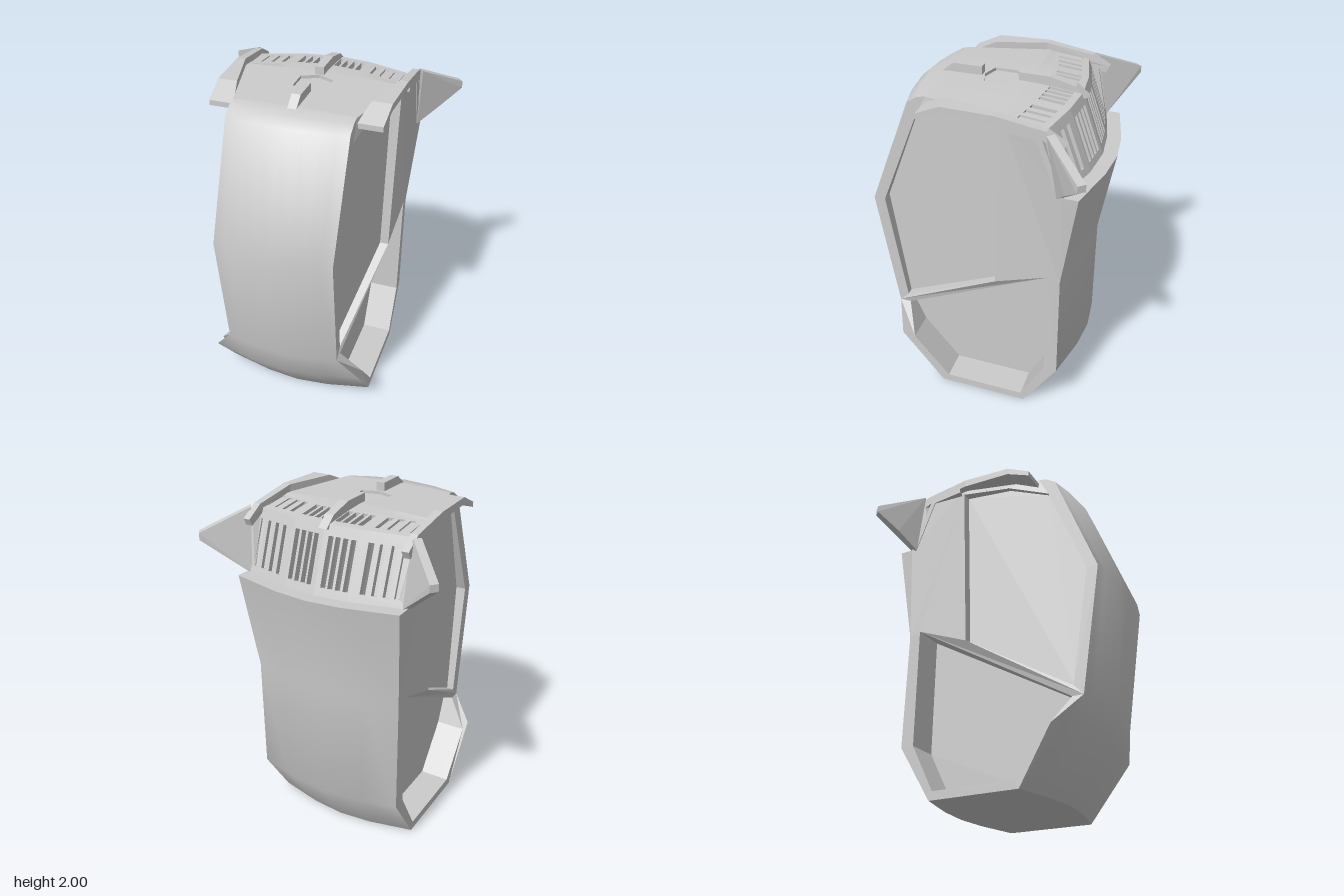
import * as THREE from 'three';
import { toCreasedNormals } from 'three/addons/utils/BufferGeometryUtils.js';
import { ConvexGeometry } from 'three/addons/geometries/ConvexGeometry.js';

const clamp = (v) => Math.min(1, Math.max(0, v));

// Half width of the body at a given depth and height
function halfWidth(z, y) {
  if (y < 0.4) return 0.46;
  if (z > -0.2) return 0.34 + 0.12 * clamp((0.28 - z) / 0.46);
  return 0.46 + 0.04 * clamp((y - 1) / 0.58);
}

// How far the shell falls back from its centre line at x
function bow(x) {
  const a = Math.abs(x);
  return a < 0.2 ? a * 0.1 : 0.02 + (a - 0.2) * 0.235;
}

// Centre profile: z, y, sideways fall in z, sideways fall in y
const PROFILE = [
  [-0.61, 1.58, 1, 0], [-0.69, 1.58, 1, 0], [-0.6, 1.0, 1, 0], [-0.61, 0.32, 1, 0], [-0.41, 0, 1, 0],
  [0.29, 0, -1, 0], [0.55, 0.33, -1, 0], [0.58, 0.49, -1, 0], [0.69, 1.24, -1, 0], [0.44, 1.89, -1, 0],
  [0.38, 1.94, -1, 0.2], [0.28, 1.95, 0, 0.2], [-0.18, 1.955, 0, 0.2], [-0.28, 1.95, 1, 0.2],
  [-0.48, 1.93, 1, 0.2],
];

function surfacePoint([z, y, kz, ky], x) {
  const b = bow(x);
  return new THREE.Vector3(x, y - ky * b, z + kz * b);
}
const edgePoint = (p) => surfacePoint(p, halfWidth(p[0], p[1]));

// Curved strip through a run of profile points
function band(points) {
  const pos = [], idx = [], cols = 9;
  points.forEach((p) => {
    const w = halfWidth(p[0], p[1]);
    [-w, -0.27, -0.2, -0.1, 0, 0.1, 0.2, 0.27, w].forEach((x) => pos.push(...surfacePoint(p, x).toArray()));
  });
  for (let i = 0; i < points.length - 1; i++) {
    for (let j = 0; j < cols - 1; j++) {
      const a = i * cols + j, c = a + cols;
      idx.push(a, a + 1, c, a + 1, c + 1, c);
    }
  }
  const g = new THREE.BufferGeometry();
  g.setAttribute('position', new THREE.Float32BufferAttribute(pos, 3));
  g.setIndex(idx);
  return toCreasedNormals(g, 0.8);
}

// Apply a rule to every vertex
function remap(geo, rule) {
  const p = geo.attributes.position, v = new THREE.Vector3();
  for (let i = 0; i < p.count; i++) {
    const q = rule(v.fromBufferAttribute(p, i));
    p.setXYZ(i, q.x, q.y, q.z);
  }
  geo.computeVertexNormals();
  return geo;
}

// Mirror in x, keeping faces outward
function mirrored(geo) {
  const g = geo.clone(), p = g.attributes.position;
  for (let i = 0; i < p.count; i += 3) {
    const t = [0, 2, 1].map((k) => new THREE.Vector3().fromBufferAttribute(p, i + k));
    t.forEach((v, k) => p.setXYZ(i + k, -v.x, v.y, v.z));
  }
  g.computeVertexNormals();
  return g;
}

const toShape = (pts) => new THREE.Shape(pts.map(([a, b]) => new THREE.Vector2(a, b)));
const sideShape = (pts) => toShape(pts.map(([z, y]) => [-z, y]));
const extrude = (shape, depth) => new THREE.ExtrudeGeometry(shape, { depth, bevelEnabled: false });

// Side-on outline pushed out in x; xRule(z, y, outer) sets x
function sidePiece(outline, holes, xRule) {
  const shape = sideShape(outline);
  shape.holes = holes.map(sideShape);
  return remap(extrude(shape, 1), (v) => new THREE.Vector3(xRule(-v.x, v.y, v.z > 0.5), v.y, -v.x));
}

// Half-plate between two profile points, with cut-outs given as (x, 0..1)
const THICK = 0.03, EDGE = 0.48;
function plate(p0, p1, outline, holes) {
  const shape = toShape(outline);
  shape.holes = holes.map(toShape);
  const dir = new THREE.Vector3(0, p1[1] - p0[1], p1[0] - p0[0]);
  const n = new THREE.Vector3(1, 0, 0).cross(dir).normalize();
  const at = (p, x) => {
    const w = halfWidth(p[0], p[1]);
    return surfacePoint(p, x > 0.2 ? 0.2 + ((x - 0.2) / (EDGE - 0.2)) * (w - 0.2) : x);
  };
  return remap(extrude(shape, THICK), (v) => {
    const d = v.z - THICK;
    return at(p0, v.x).lerp(at(p1, v.x), v.y).addScaledVector(n, d);
  });
}

export function createModel() {
  const group = new THREE.Group();
  const mat = new THREE.MeshStandardMaterial({ color: 0xcccccc, side: THREE.DoubleSide });
  const add = (geo, name) => {
    const m = new THREE.Mesh(geo, mat);
    m.name = name;
    group.add(m);
  };
  const addPair = (geo, name) => {
    add(geo, name + 'Left');
    add(mirrored(geo), name + 'Right');
  };
  const rect = (a, b, v0, v1) => [[a, v0], [b, v0], [b, v1], [a, v1]];

  // Outer shell: back, bottom, front, and the small strip ahead of the vents
  add(band(PROFILE.slice(0, 12)), 'shell');
  add(band(PROFILE.slice(12, 14)), 'roofStrip');

  // Roof with a hexagonal recess
  const roofInner = [[0, 0], [0.2, 0], [0.2, 1], [0, 1], [0, 0.89], [0.095, 0.8], [0.095, 0.52], [0, 0.457]];
  addPair(plate(PROFILE[11], PROFILE[12], roofInner, []), 'roofCentre');
  addPair(plate(PROFILE[11], PROFILE[12], rect(0.2, EDGE, 0, 1), []), 'roofSide');
  const floor = new THREE.CylinderGeometry(0.12, 0.12, 0.01, 6);
  floor.translate(0, 1.93, -0.03);
  add(floor, 'recessFloor');

  // Two rows of vent slots, one on the roof and one on the steep back
  const inner = [0.03, 0.07, 0.113, 0.157], outer = [0.245, 0.3, 0.355, 0.41];
  const rows = [[PROFILE[13], PROFILE[14], 0.12, 0.8, 'roofVent'], [PROFILE[14], PROFILE[0], 0.16, 0.88, 'backVent']];
  rows.forEach(([p0, p1, v0, v1, name]) => {
    const slots = (xs) => xs.map((x) => rect(x, x + 0.028, v0, v1));
    addPair(plate(p0, p1, rect(0, 0.2, 0, 1), slots(inner)), name + 'Inner');
    addPair(plate(p0, p1, rect(0.2, EDGE, 0, 1), slots(outer)), name + 'Outer');
  });

  // Side frames with two openings and the slanted bar between them
  const upper = [[0.57, 1.24], [0.34, 1.82], [0.07, 1.92], [-0.18, 1.92], [-0.14, 0.9], [0.47, 0.55]];
  const lower = [[0.46, 0.49], [0.39, 0.32], [0.17, 0.05], [-0.31, 0.05], [-0.45, 0.32], [-0.45, 1.02]];
  const edge = PROFILE.map(edgePoint).map((p) => [p.z, p.y]);
  addPair(sidePiece(edge, [upper, lower], (z, y, out) => (out ? halfWidth(z, y) : 0.25)), 'sideFrame');

  // Recessed panels inside the openings
  const slant = (z) => 0.4 - (0.12 * (z + 0.15)) / 0.72;
  addPair(sidePiece(upper, [], (z, y, out) => slant(z) - (out ? 0 : 0.02)), 'upperPanel');
  addPair(sidePiece(lower, [], (z, y, out) => (out ? 0.28 : 0.26)), 'lowerPanel');

  // Eaves along the roof sides
  const eave = [[0.28, 1.91], [0.14, 1.975], [-0.15, 1.98], [-0.42, 1.94], [-0.52, 1.88],
    [-0.5, 1.84], [-0.4, 1.89], [-0.15, 1.935], [0.14, 1.935], [0.28, 1.88]];
  addPair(sidePiece(eave, [], (z, y, out) =>
    (out ? 0.48 + 0.02 * clamp((0.28 - z) / 0.4) : halfWidth(Math.max(z, -0.18), y))), 'eave');

  // Swept wings at the rear corners, each with a gusset below
  const wing = [];
  [[0.49, 1.93, -0.46], [0.69, 1.81, -0.67], [0.69, 1.77, -0.67], [0.58, 1.67, -0.585], [0.47, 1.57, -0.52]]
    .forEach(([x, y, z]) => {
      wing.push(new THREE.Vector3(x, y, z), new THREE.Vector3(x + 0.03, y, z + 0.035));
    });
  addPair(new ConvexGeometry(wing), 'wing');
  const gusset = [[0.45, 1.9, -0.38], [0.5, 1.9, -0.44], [0.46, 1.48, -0.4], [0.5, 1.58, -0.52], [0.45, 1.6, -0.52]];
  addPair(new ConvexGeometry(gusset.map((p) => new THREE.Vector3(...p))), 'gusset');

  // Crest ridges before and behind the recess
  const crest = (pts, name) => add(sidePiece(pts, [], (z, y, out) => (out ? 0.025 : -0.025)), name);
  crest([[0.33, 1.93], [0.24, 2], [0.08, 2], [0.08, 1.93]], 'frontCrest');
  crest([[-0.13, 1.93], [-0.13, 2], [-0.3, 2], [-0.44, 1.965], [-0.51, 1.91], [-0.48, 1.9]], 'rearCrest');
  return group;
}
